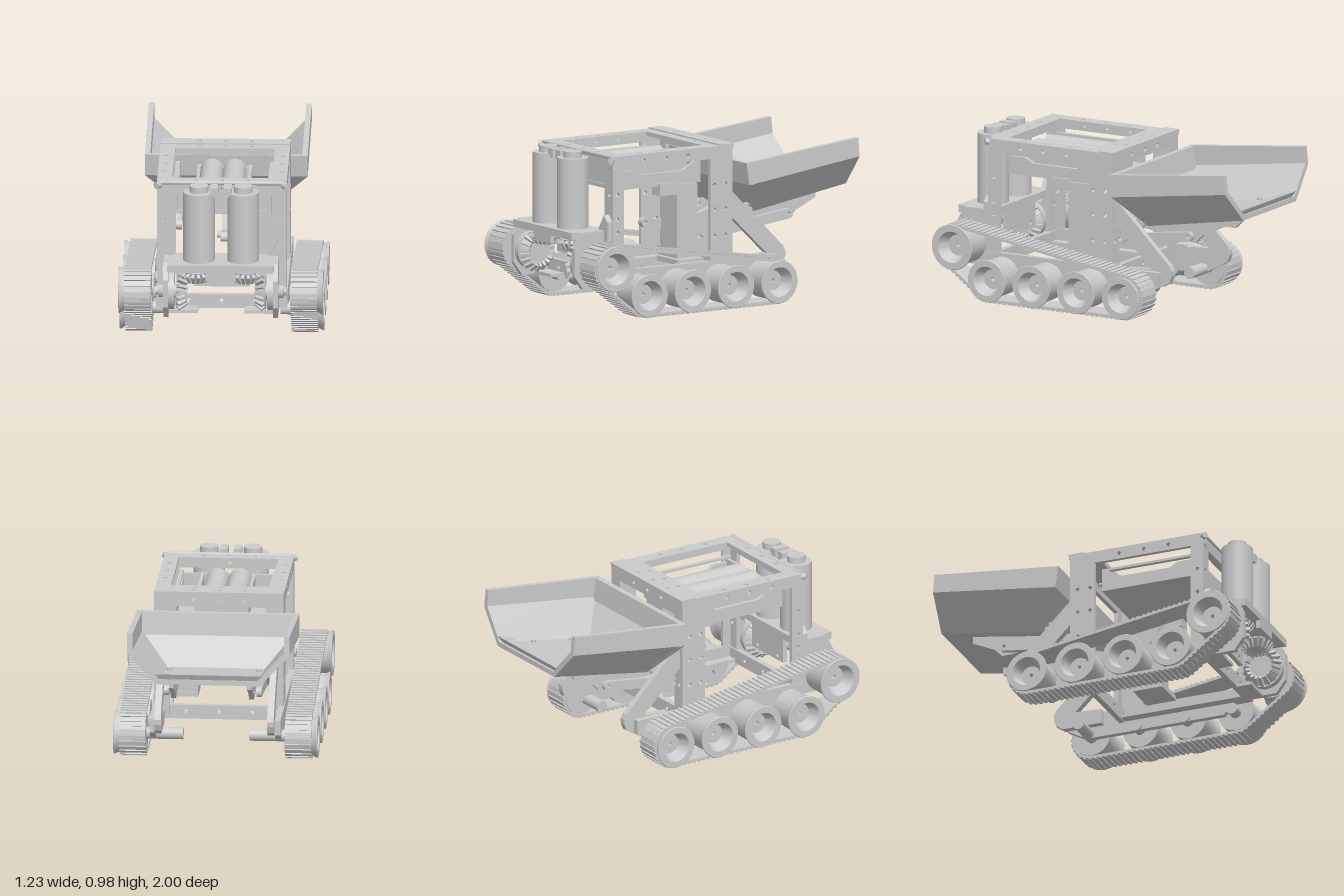
import * as THREE from 'three';
import { toCreasedNormals } from 'three/addons/utils/BufferGeometryUtils.js';

const mat = new THREE.MeshStandardMaterial({ color: 0xcccccc });
const thin = new THREE.MeshStandardMaterial({ color: 0xcccccc, side: THREE.DoubleSide });

export function createModel() {
  const model = new THREE.Group();
  const add = (name, geo, x = 0, y = 0, z = 0, parent = model, m = mat) => {
    const mesh = new THREE.Mesh(geo, m);
    mesh.name = name;
    mesh.position.set(x, y, z);
    parent.add(mesh);
    return mesh;
  };
  // Box given by its limits
  const box = (name, x0, x1, y0, y1, z0, z1) =>
    add(name, new THREE.BoxGeometry(x1 - x0, y1 - y0, z1 - z0), (x0 + x1) / 2, (y0 + y1) / 2, (z0 + z1) / 2);
  const cyl = (name, axis, r, len, x, y, z, sides = 28) => {
    const g = new THREE.CylinderGeometry(r, r, len, sides);
    if (axis === 'x') g.rotateZ(-Math.PI / 2);
    if (axis === 'z') g.rotateX(Math.PI / 2);
    return add(name, g, x, y, z);
  };
  const rect = (a0, a1, b0, b1) => [[a0, b0], [a1, b0], [a1, b1], [a0, b1]];
  const path = (pts) => pts.map(([a, b]) => new THREE.Vector2(a, b));
  // Flat plate with windows and drilled holes; normal axis x (drawn in z,y), y (x,z) or z (x,y)
  const plate = (name, axis, from, t, pts, windows = [], drills = [], r = 0.013) => {
    const s = new THREE.Shape(path(pts));
    windows.forEach((w) => s.holes.push(new THREE.Path(path(w))));
    drills.forEach(([a, b]) => s.holes.push(new THREE.Path().absarc(a, b, r, 0, Math.PI * 2, true)));
    const g = new THREE.ExtrudeGeometry(s, { depth: t, bevelEnabled: false, curveSegments: 8 });
    if (axis === 'x') g.rotateY(-Math.PI / 2).translate(from + t, 0, 0);
    else if (axis === 'y') g.rotateX(Math.PI / 2).translate(0, from + t, 0);
    else g.translate(0, 0, from);
    return add(name, g);
  };
  // Link with round ends and pin holes, in the z,y plane
  const link = (name, x, t, z0, y0, z1, y1, r) => {
    const a = Math.atan2(y1 - y0, z1 - z0), s = new THREE.Shape();
    s.absarc(z1, y1, r, a - Math.PI / 2, a + Math.PI / 2, false);
    s.absarc(z0, y0, r, a + Math.PI / 2, a + Math.PI * 1.5, false);
    for (const [z, y] of [[z0, y0], [z1, y1]]) s.holes.push(new THREE.Path().absarc(z, y, r * 0.4, 0, Math.PI * 2, true));
    const g = new THREE.ExtrudeGeometry(s, { depth: t, bevelEnabled: false });
    add(name, g.rotateY(-Math.PI / 2).translate(x + t / 2, 0, 0));
  };
  // Solid through matching loops of points
  const loft = (name, loops) => {
    const n = loops[0].length, idx = [];
    for (let i = 0; i < loops.length - 1; i++)
      for (let j = 0; j < n; j++) {
        const a = i * n + j, b = i * n + (j + 1) % n;
        idx.push(a, b, a + n, b, b + n, a + n);
      }
    // caps join point j with its partner on the other half of the loop
    for (const o of [0, (loops.length - 1) * n])
      for (let j = 0; j < n / 2 - 1; j++) {
        const a = o + j, b = o + j + 1, c = o + n - 2 - j, d = o + n - 1 - j;
        idx.push(a, c, b, a, d, c);
      }
    const g = new THREE.BufferGeometry();
    g.setAttribute('position', new THREE.Float32BufferAttribute(loops.flat(2), 3));
    g.setIndex(idx);
    add(name, toCreasedNormals(g, 0.3), 0, 0, 0, model, thin);
  };

  // Track belts: outline hugging the drive sprocket and the road wheels
  const driveZ = 0.858, driveY = 0.322, roadY = 0.14;
  const roadZ = [0.615, 0.304, -0.007, -0.321];
  const circles = [[driveZ, driveY], [roadZ[0], roadY], [roadZ[3], roadY]];
  const hull = (r) => Array.from({ length: 120 }, (_, i) => {
    const c = Math.cos(i * Math.PI / 60), s = Math.sin(i * Math.PI / 60);
    const val = (k) => k[0] * c + k[1] * s;
    const k = circles.reduce((p, q) => (val(q) > val(p) ? q : p));
    return [k[0] + r * c, k[1] + r * s];
  });
  const ribPoints = new THREE.Shape(path([...hull(0.133), hull(0.133)[0]])).getSpacedPoints(96);
  const wheelProfile = path([[0.012, 0], [0.115, 0], [0.115, 0.16], [0.131, 0.19], [0.128, 0.195], [0.09, 0.195],
    [0.085, 0.185], [0.06, 0.12], [0.012, 0.12], [0.012, 0]]);
  const wheelGeo = toCreasedNormals(new THREE.LatheGeometry(wheelProfile, 40), 0.5);
  const ribGeo = new THREE.BoxGeometry(0.16, 0.014, 0.016);

  // Bevel gear with its axis along y, teeth on the upper cone
  const bevelGear = (name, r, x, y, z, rotZ) => {
    const g = new THREE.Group();
    g.name = name;
    add('gearBody', new THREE.CylinderGeometry(r * 0.62, r * 0.9, 0.05, 24), 0, 0, 0, g);
    add('gearHub', new THREE.CylinderGeometry(r * 0.4, r * 0.4, 0.08, 20), 0, -0.02, 0, g);
    for (let i = 0; i < 18; i++) {
      const tooth = new THREE.BoxGeometry(0.06, 0.028, 0.018);
      tooth.rotateZ(-0.9).translate(r * 0.82, 0.01, 0).rotateY(i * Math.PI / 9);
      add('gearTooth', tooth, 0, 0, 0, g);
    }
    g.position.set(x, y, z);
    g.rotation.z = rotZ;
    model.add(g);
  };

  for (const s of [-1, 1]) {
    const at = (a, b) => Math.min(s * a, s * b);
    const sbox = (name, x0, x1, ...rest) => box(name, at(x0, x1), at(x0, x1) + x1 - x0, ...rest);

    // Track, wheels and axles
    plate('trackBelt', 'x', at(0.42, 0.58), 0.16, hull(0.133), [hull(0.117)]);
    ribPoints.slice(0, -1).forEach((p, i) => {
      const q = ribPoints[i + 1];
      const rib = add('trackRib', ribGeo, s * 0.5, p.y, p.x);
      rib.rotation.x = -Math.atan2(q.y - p.y, q.x - p.x);
    });
    for (const [z, y, k] of [[driveZ, driveY, 1.07], ...roadZ.map((z) => [z, roadY, 1])]) {
      const w = add('wheel', wheelGeo, s * 0.42, y, z);
      w.rotation.z = -s * Math.PI / 2;
      w.scale.set(k, 1, k);
    }
    roadZ.forEach((z, i) => {
      const inner = i === 3 ? 0.2 : 0.35;
      cyl('axleSleeve', 'x', 0.036, 0.425 - inner, s * (0.425 + inner) / 2, roadY, z);
    });
    cyl('driveAxle', 'x', 0.022, 0.15, s * 0.305, driveY, driveZ);
    cyl('axleNut', 'x', 0.042, 0.03, s * 0.36, driveY, driveZ, 6);
    cyl('axleTip', 'x', 0.027, 0.02, s * 0.383, driveY, driveZ, 12);

    // Lower rail carrying the road wheels, with an inward flange
    plate('lowerRail', 'x', at(0.36, 0.395), 0.035,
      [[0.74, 0.18], [0.62, 0.18], [0.56, 0.11], [-0.33, 0.11], [-0.46, 0.18], [-0.46, 0.27], [0.74, 0.27]],
      [], [[0.5, 0.225]]);
    sbox('railFlange', 0.3, 0.36, 0.18, 0.2, -0.1, 0.7);

    // Side frame
    plate('sideFrame', 'x', at(0.365, 0.39), 0.025, rect(-0.13, 0.735, 0.2, 0.96), [rect(0.03, 0.655, 0.27, 0.89)],
      [[0.51, 0.925], [0.35, 0.925], [0.19, 0.925], [0.7, 0.73], [0.7, 0.58], [0.7, 0.5],
        ...[0.73, 0.58, 0.42].flatMap((y) => [[-0.08, y], [0, y]])]);
    for (const [name, z] of [['frontPost', 0.71], ['rearPost', -0.13]])
      plate(name, 'z', z, 0.025, rect(at(0.3, 0.39), at(0.3, 0.39) + 0.09, 0.2, 0.96), [],
        [[s * 0.35, 0.73], [s * 0.35, 0.57], [s * 0.35, 0.42]]);
    plate('frontGusset', 'z', 0.735, 0.035, [[s * 0.24, 0.45], [s * 0.385, 0.45], [s * 0.385, 0.57], [s * 0.345, 0.61]]);
    const bolt = cyl('cornerBolt', 'z', 0.02, 0.06, s * 0.375, 0.945, 0.73, 12);
    bolt.rotation.y = s * 0.7;
    cyl('framePlug', 'z', 0.025, 0.008, s * 0.342, 0.912, 0.737, 20);

    // Diagonal rear strut
    plate('rearStrut', 'x', at(0.32, 0.36), 0.04, [[-0.1, 0.72], [-0.515, 0.31], [-0.53, 0.28], [-0.53, 0.25],
      [-0.515, 0.21], [-0.47, 0.18], [-0.22, 0.18], [-0.22, 0.27], [-0.39, 0.28], [-0.1, 0.56]]);

    // Gearbox cheeks, gears and motor
    plate('gearboxCheek', 'x', at(0.315, 0.345), 0.03,
      [[0.735, 0.17], [0.92, 0.17], [0.98, 0.25], [0.98, 0.42], [0.93, 0.515], [0.735, 0.515]]);
    cyl('gearBacking', 'x', 0.115, 0.035, s * 0.298, driveY, driveZ, 32);
    sbox('gearboxFoot', 0.14, 0.32, 0.17, 0.19, 0.73, 0.83);
    bevelGear('verticalBevelGear', 0.12, s * 0.245, driveY, driveZ, s * Math.PI / 2);
    bevelGear('horizontalBevelGear', 0.095, s * 0.15, 0.425, driveZ, Math.PI);
    cyl('motorBody', 'y', 0.095, 0.43, s * 0.133, 0.727, 0.853, 32);
    cyl('motorCap', 'y', 0.056, 0.04, s * 0.133, 0.96, 0.853, 28);
    sbox('motorTerminal', 0.018, 0.065, 0.92, 0.975, 0.8, 0.9);

    // Battery cell and tray wall
    cyl('batteryCell', 'z', 0.068, 0.5, s * 0.068 - 0.008, 0.85, 0.34);
    plate('trayWall', 'x', at(0.27, 0.295), 0.025, rect(0.04, 0.65, 0.755, 0.885),
      [[[0.08, 0.87], [0.17, 0.82], [0.48, 0.82], [0.53, 0.85], [0.62, 0.85], [0.62, 0.87]]]);
    sbox('cellHolderWall', 0.145, 0.165, 0.76, 0.87, 0.05, 0.63);

    // Bed hinge bracket and lift links
    plate('bedBracket', 'x', at(0.22, 0.25), 0.03,
      [[-0.31, 0.535], [-0.3, 0.5], [-0.56, 0.45], [-0.63, 0.45], [-0.68, 0.5], [-0.82, 0.565], [-0.82, 0.62]],
      [], [[-0.6, 0.49]], 0.018);
    link('liftLink', s * 0.28, 0.03, -0.6, 0.49, -0.14, 0.43, 0.03);
    link('rockerLink', s * 0.3, 0.03, -0.14, 0.43, -0.3, 0.56, 0.028);
  }

  // Top plate and cross members
  const rearHoles = [-0.155, 0, 0.155].map((x) => [x, -0.09]);
  plate('topPlate', 'y', 0.94, 0.025, rect(-0.39, 0.39, -0.135, 0.735), [rect(-0.3, 0.3, 0.035, 0.64)],
    [...rearHoles, ...[-0.155, 0, 0.155].flatMap((x) => [[x, 0.69], [x, -0.01]]),
      ...[-0.35, 0.35].flatMap((x) => [[x, 0.19], [x, 0.35], [x, 0.51]])]);
  plate('rearCatch', 'y', 0.965, 0.008, rect(-0.39, 0.39, -0.14, -0.04), [], rearHoles);
  plate('frontTopBeam', 'z', 0.71, 0.025, rect(-0.3, 0.3, 0.88, 0.96), [], [[0, 0.92]]);
  plate('rearTopBeam', 'z', -0.13, 0.025, rect(-0.3, 0.3, 0.88, 0.96), [], [[-0.15, 0.92], [0, 0.92], [0.15, 0.92]]);
  cyl('topRod', 'x', 0.013, 0.74, 0, 0.96, 0.73, 12);
  for (const [name, z] of [['frontCrossBar', 0.7], ['rearCrossBar', -0.12]])
    plate(name, 'z', z, 0.035, rect(-0.37, 0.37, 0.175, 0.26), [], [[-0.2, 0.22], [0, 0.22], [0.2, 0.22]]);

  // Gearbox
  box('gearboxTop', -0.32, 0.32, 0.47, 0.515, 0.735, 0.985);
  plate('gearboxFace', 'z', 0.955, 0.03, [[-0.09, 0.48], [-0.09, 0.42], [0.09, 0.42], [0.09, 0.48]]);
  plate('gearboxWeb', 'z', 0.735, 0.03, rect(-0.17, 0.17, 0.32, 0.51), [], [[-0.11, 0.35], [0.11, 0.35]]);

  // Battery tray, servo and central lever
  box('trayFloor', -0.295, 0.295, 0.74, 0.765, 0.04, 0.65);
  box('trayFrontWall', -0.28, 0.28, 0.76, 0.87, 0.62, 0.64);
  box('trayRearWall', -0.165, 0.165, 0.76, 0.86, 0.05, 0.07);
  box('servoBody', 0.14, 0.31, 0.29, 0.74, 0.07, 0.22);
  box('servoHead', 0.22, 0.31, 0.68, 0.755, 0.22, 0.34);
  box('servoFoot', 0.14, 0.36, 0.26, 0.29, 0.06, 0.25);
  link('centralLever', 0, 0.04, 0.25, 0.475, 0.02, 0.42, 0.03);
  link('pushRod', 0, 0.04, 0.02, 0.42, -0.34, 0.53, 0.03);
  cyl('leverShaft', 'x', 0.02, 0.3, 0.1, 0.42, 0.02, 16);

  // Tipping bed: trough open at the back
  const trough = (zf, yf, zm, ym, zt, yt, w) => {
    const half = [[0.49, yt, zt], [0.49, ym, zm], [w, yf, zf]];
    const inner = [[w - 0.015, yf + 0.03, zf], [0.457, ym + 0.015, zm], [0.457, yt, zt]];
    const flip = (l) => l.map(([x, y, z]) => [-x, y, z]);
    return [...half, ...flip(half).reverse(), ...flip(inner).reverse(), ...inner];
  };
  loft('bedTrough', [trough(-0.335, 0.53, -0.184, 0.725, -0.164, 0.86, 0.308), trough(-1, 0.64, -0.98, 0.83, -0.97, 0.945, 0.31)]);
  const wall = (x, y, z) => [[-x, y, z], [x, y, z], [x, y, z - 0.035], [-x, y, z - 0.035]];
  loft('bedFrontWall', [wall(0.308, 0.535, -0.335), wall(0.488, 0.725, -0.184), wall(0.488, 0.86, -0.164)]);
  const lip = (x, y, z) => [[-x, y, z], [x, y, z], [x + 0.025, y + 0.04, z - 0.02], [-x - 0.025, y + 0.04, z - 0.02]];
  loft('bedRearLip', [lip(0.295, 0.64, -0.89), lip(0.295, 0.66, -0.975)]);
  for (const x of [-0.27, 0.27])
    for (const z of [-0.5, -0.77]) cyl('bedScrew', 'y', 0.014, 0.03, x, 0.585 - (z + 0.5) * 0.164, z, 12);
  return model;
}
